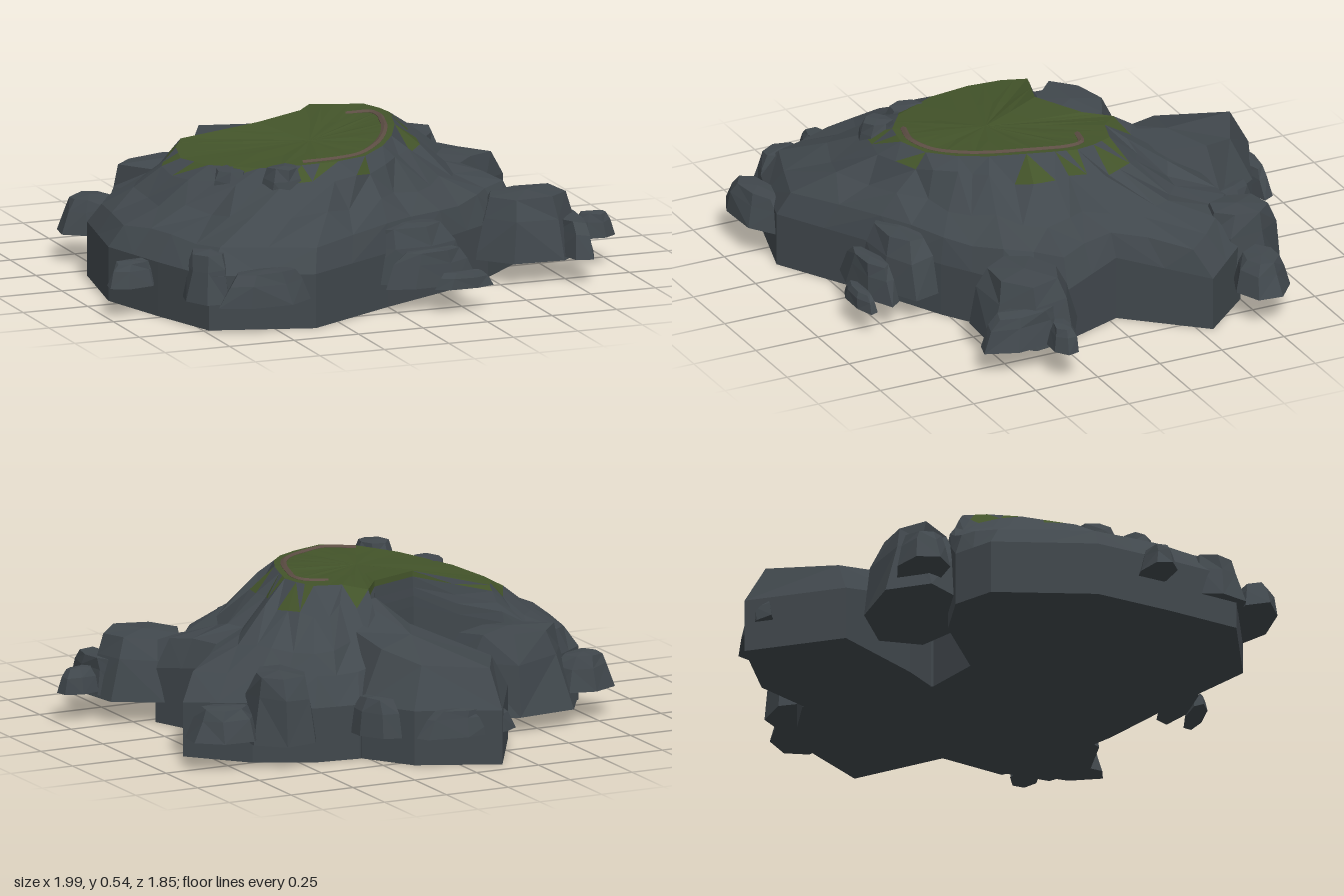
import * as THREE from 'three';

const material = (color) => new THREE.MeshStandardMaterial({ color, flatShading: true, roughness: 1 });
const slate = material(0x41484d);
const moss = material(0x43542a);
const earth = material(0x5c4d43);

// Seeded noise in the range -1..1
let seed = 11;
const noise = () => {
  seed = (seed * 16807) % 2147483647;
  return (seed / 2147483647) * 2 - 1;
};

const mix = (a, b, t) => a.map((v, i) => v + (b[i] - v) * t);
const flat = (ring, y) => ring.map(([x, , z]) => [x, y, z]);
const fromXZY = (rows) => rows.map(([x, z, y]) => [x, y, z]);
const halve = (ring) => ring.flatMap((p, i) => [p, mix(p, ring[(i + 1) % ring.length], 0.5)]);
const roughen = (ring, amount) =>
  ring.map(([x, y, z]) => [x + noise() * amount, y + noise() * amount * 0.7, z + noise() * amount]);

// Triangles between two rings that run clockwise seen from above, with alternating diagonals
function band(lower, upper) {
  const tris = [];
  lower.forEach((a, i) => {
    const j = (i + 1) % lower.length;
    const [b, c, d] = [upper[i], upper[j], lower[j]];
    if (i % 2) tris.push([a, b, c], [a, c, d]);
    else tris.push([a, b, d], [b, c, d]);
  });
  return tris;
}

// Fan that closes a ring, facing up or down
function cap(ring, centre, down = false) {
  return ring.map((a, i) => {
    const b = ring[(i + 1) % ring.length];
    return down ? [a, b, centre] : [a, centre, b];
  });
}

function mesh(name, tris, mat) {
  const geometry = new THREE.BufferGeometry();
  geometry.setAttribute('position', new THREE.Float32BufferAttribute(tris.flat(2), 3));
  geometry.computeVertexNormals();
  const m = new THREE.Mesh(geometry, mat);
  m.name = name;
  return m;
}

// Foot of the hill: x, z, height of the vertical wall
const foot = fromXZY([
  [-0.20, -0.11, 0.40], [0.00, -0.20, 0.40], [0.12, -0.55, 0.25], [0.28, -0.62, 0.20],
  [0.45, -0.60, 0.20], [0.65, -0.50, 0.22], [0.83, -0.30, 0.20], [0.59, -0.03, 0.24],
  [0.68, 0.21, 0.20], [0.50, 0.38, 0.20], [0.28, 0.52, 0.20], [0.00, 0.66, 0.20],
  [-0.36, 0.86, 0.20], [-0.73, 0.75, 0.20], [-0.82, 0.48, 0.20], [-0.90, 0.20, 0.20],
  [-0.83, -0.18, 0.20], [-0.70, -0.28, 0.20], [-0.49, -0.26, 0.34],
]);

// Edge of the grassy plateau, one point above each foot point
const rim = fromXZY([
  [-0.20, -0.10, 0.53], [0.00, -0.19, 0.535], [0.07, -0.28, 0.53], [0.14, -0.21, 0.54],
  [0.24, -0.18, 0.54], [0.27, -0.10, 0.54], [0.28, -0.03, 0.54], [0.26, 0.05, 0.54],
  [0.23, 0.15, 0.54], [0.17, 0.27, 0.53], [0.10, 0.36, 0.52], [0.00, 0.44, 0.51],
  [-0.12, 0.48, 0.51], [-0.25, 0.45, 0.50], [-0.38, 0.36, 0.48], [-0.50, 0.17, 0.46],
  [-0.54, 0.00, 0.45], [-0.51, -0.12, 0.46], [-0.46, -0.20, 0.47],
]);

function hill(group) {
  const low = halve(foot);
  const top = halve(rim);
  const n = low.length;
  // The left flank is hollowed
  const middle = (t, h, amount, hollow) =>
    low.map((p, i) => {
      const q = mix(p, top[i], t);
      const rise = i > 6 && i < 18 ? h - hollow : h;
      q[1] = p[1] + (top[i][1] - p[1]) * rise;
      // The cliff of the notch stays clean
      const r = i < 3 || i > n - 4 ? 0 : amount;
      return roughen([q], r)[0];
    });
  const rings = [
    low, middle(0.14, 0.3, 0.012, 0), middle(0.5, 0.54, 0.018, 0.1), middle(0.8, 0.84, 0.016, 0.08), top,
  ];
  const ground = flat(low, 0);
  const rock = [...band(ground, low), ...cap(ground, [-0.1, 0, 0.15], true)];
  for (let k = 0; k < 3; k++) rock.push(...band(rings[k], rings[k + 1]));

  // Grass on the plateau with ragged tongues running down the slope
  const centre = [-0.1, 0.51, 0.15];
  const inner = roughen(top.map((p) => mix(p, centre, 0.5)), 0.004);
  const grass = [...band(top, inner), ...cap(inner, centre)];
  band(rings[3], top).forEach((t) => (noise() > 0.3 ? grass : rock).push(t));
  group.add(mesh('hill', rock, slate), mesh('grass', grass, moss));

  // Worn track just inside the plateau edge
  const points = rim.slice(5, 14).map((p) => {
    const [x, y, z] = mix(p, centre, 0.12);
    return new THREE.Vector3(x, y - 0.005, z);
  });
  points.unshift(new THREE.Vector3(0.14, 0.525, -0.1));
  const track = new THREE.Mesh(
    new THREE.TubeGeometry(new THREE.CatmullRomCurve3(points), 40, 0.013, 6), earth);
  track.name = 'track';
  group.add(track);
}

// Lower spur reaching out behind the notch
function headland(group) {
  const wall = fromXZY([
    [-0.33, -0.60, 0.20], [-0.14, -0.93, 0.20], [0.15, -0.80, 0.20], [0.27, -0.62, 0.20],
    [0.25, -0.35, 0.30], [0.10, -0.20, 0.40], [0.00, -0.21, 0.40], [-0.10, -0.31, 0.30],
  ]);
  const crown = fromXZY([
    [-0.26, -0.61, 0.32], [-0.13, -0.85, 0.34], [0.09, -0.74, 0.35], [0.18, -0.60, 0.39],
    [0.18, -0.40, 0.41], [0.10, -0.28, 0.49], [0.03, -0.26, 0.49], [-0.05, -0.37, 0.41],
  ]);
  const ground = flat(wall, 0);
  group.add(mesh('headland', [
    ...band(ground, wall), ...band(wall, crown),
    ...cap(crown, [0.02, 0.41, -0.52]), ...cap(ground, [0.02, 0, -0.52], true),
  ], slate));
}

// Faceted boulder with straight tapering sides and a flat underside; turn rotates its plan
function boulder(group, name, [x, z, rx, rz, y0, y1, turn = 0]) {
  const sides = 7;
  const ring = (scale, y) => Array.from({ length: sides }, (_, i) => {
    const a = (i / sides) * Math.PI * 2 + 0.3;
    const r = scale * (1.04 + noise() * 0.05);
    const u = Math.cos(a) * rx * r;
    const v = Math.sin(a) * rz * r;
    return [x + u * Math.cos(turn) - v * Math.sin(turn), y, z + u * Math.sin(turn) + v * Math.cos(turn)];
  });
  const h = y1 - y0;
  const base = ring(1, y0);
  const waist = roughen(ring(0.8, y0 + h * 0.65), h * 0.06);
  const top = roughen(ring(0.62, y1 - h * 0.04), h * 0.05);
  group.add(mesh(name, [
    ...band(base, waist), ...band(waist, top),
    ...cap(top, [x, y1, z]), ...cap(base, [x, y0, z], true),
  ], slate));
}

export function createModel() {
  const group = new THREE.Group();
  group.name = 'rockyHill';
  hill(group);
  headland(group);

  // x, z, half width, half depth, bottom, top, turn
  const boulders = {
    backRightBoulder: [-0.45, -0.37, 0.26, 0.18, 0.06, 0.36, 0.12],
    backRightStone: [-0.73, -0.41, 0.12, 0.09, 0.11, 0.24, -0.2],
    headlandStone: [-0.03, -0.86, 0.20, 0.05, 0.11, 0.21, 0],
    headlandSideStone: [0.24, -0.68, 0.06, 0.11, 0.10, 0.24, -0.5],
    backLeftBoulder: [0.56, -0.53, 0.14, 0.16, 0.09, 0.34, 0.2],
    backLeftStone: [0.78, -0.52, 0.13, 0.10, 0.11, 0.23, 0.3],
    frontLeftBoulder: [0.65, 0.37, 0.22, 0.19, 0.08, 0.31, 0],
    frontLeftShard: [0.79, 0.44, 0.07, 0.18, 0.09, 0.22, 0],
    frontLeftPebble: [0.92, 0.35, 0.08, 0.05, 0.11, 0.20, 0],
    frontSlabUpper: [0.10, 0.60, 0.21, 0.11, 0.09, 0.29, 0],
    frontSlabMiddle: [0.14, 0.735, 0.18, 0.055, 0.09, 0.22, -0.1],
    frontSlabLower: [0.23, 0.82, 0.115, 0.034, 0.09, 0.15, 0],
    frontRightBoulder: [-0.55, 0.84, 0.18, 0.085, 0.11, 0.23, -0.1],
    frontRightStone: [-0.70, 0.67, 0.09, 0.12, 0.10, 0.28, 0],
    rightStone: [-0.89, 0.42, 0.11, 0.06, 0.11, 0.20, -0.25],
    slopeCragFront: [-0.33, 0.47, 0.09, 0.08, 0.38, 0.51, 0.4],
    slopeCragRight: [-0.46, 0.29, 0.08, 0.09, 0.36, 0.47, 0],
  };
  for (const [name, spec] of Object.entries(boulders)) boulder(group, name, spec);
  return group;
}
